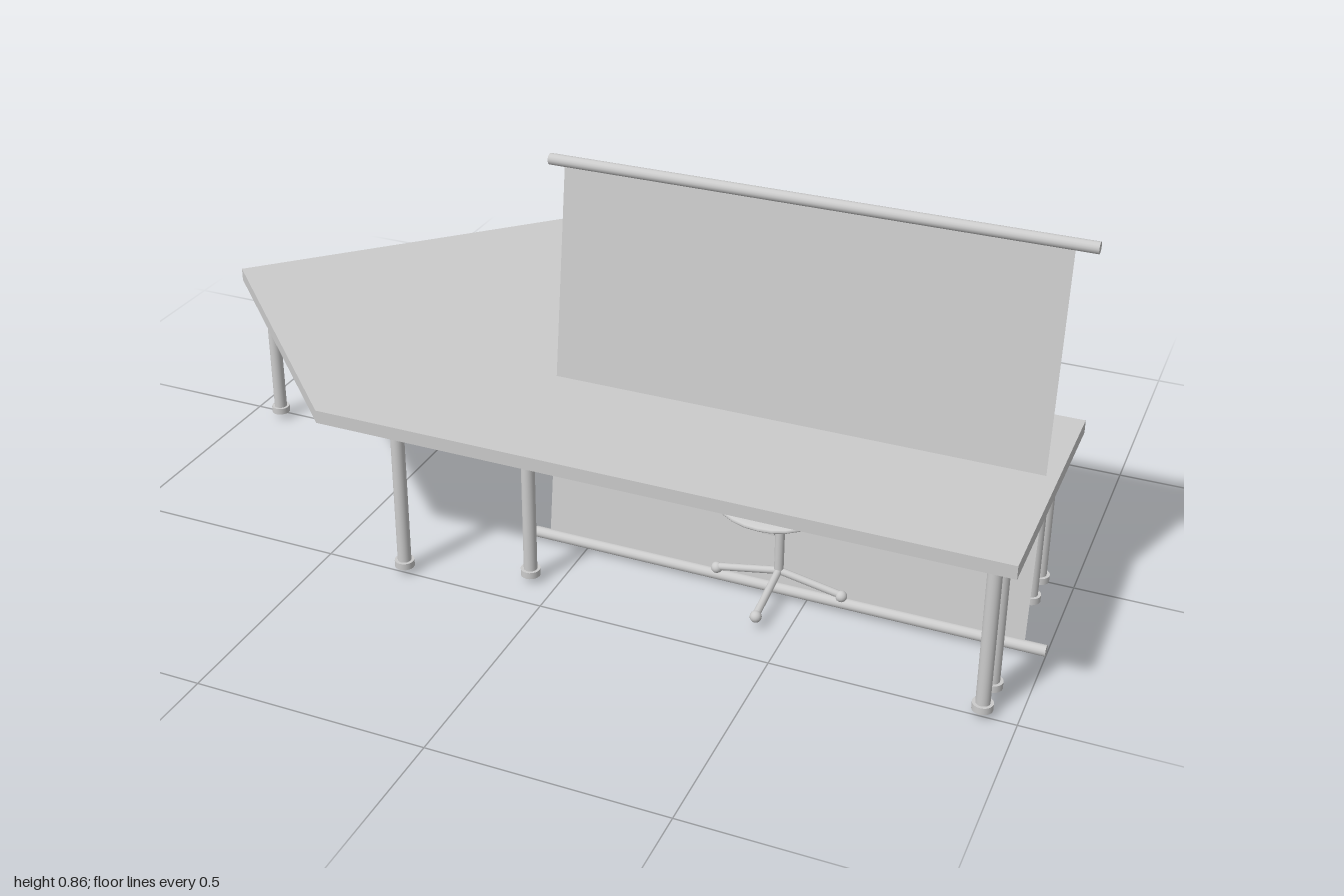
import * as THREE from 'three';

const grey = new THREE.MeshStandardMaterial({ color: 0xcccccc });
const thin = new THREE.MeshStandardMaterial({ color: 0xcccccc, side: THREE.DoubleSide });

function add(parent, name, geometry, x = 0, y = 0, z = 0, material = grey) {
  const mesh = new THREE.Mesh(geometry, material);
  mesh.name = name;
  mesh.position.set(x, y, z);
  parent.add(mesh);
  return mesh;
}

// round rod between two points
function rod(parent, name, a, b, radius, sides = 16) {
  const from = new THREE.Vector3(...a), dir = new THREE.Vector3(...b).sub(from);
  const mesh = add(parent, name, new THREE.CylinderGeometry(radius, radius, dir.length(), sides));
  mesh.position.copy(from).addScaledVector(dir, 0.5);
  mesh.quaternion.setFromUnitVectors(new THREE.Vector3(0, 1, 0), dir.normalize());
}

// padded cushion lying flat: squarish outline, rx by rz, thickness 2t, sides bent up
function cushion(rx, t, rz, bend, square) {
  const geo = new THREE.SphereGeometry(1, 32, 16);
  const p = geo.attributes.position;
  for (let i = 0; i < p.count; i++) {
    const x = p.getX(i), z = p.getZ(i);
    const r = Math.hypot(x, z);
    // the poles stay on the axis
    const k = r < 1e-6 ? 0 : r / Math.pow(Math.abs(x) ** square + Math.abs(z) ** square, 1 / square);
    const u = x * k;
    p.setXYZ(i, u * rx, p.getY(i) * t + bend * u * u, z * k * rz);
  }
  geo.computeVertexNormals();
  return geo;
}

// flat bar following a side outline given as (z, y), centred on x
function sideBar(points, width) {
  const shape = new THREE.Shape(points.map(([z, y]) => new THREE.Vector2(z, y)));
  const geo = new THREE.ExtrudeGeometry(shape, { depth: width, bevelEnabled: false });
  return geo.translate(0, 0, -width / 2).rotateY(-Math.PI / 2);
}

function makeDesk() {
  const desk = new THREE.Group();
  desk.name = 'desk';
  const outline = [[-1, 0.02], [-0.48, 0.545], [0.98, 0.545], [0.98, -0.035], [0.09, -0.035], [-0.425, -0.55]];
  const shape = new THREE.Shape(outline.map(([x, z]) => new THREE.Vector2(x, -z)));
  const top = new THREE.ExtrudeGeometry(shape, { depth: 0.029, bevelEnabled: false });
  add(desk, 'deskTop', top.rotateX(-Math.PI / 2), 0, 0.351, 0);

  const legs = [
    [-0.925, 0.02], [-0.43, -0.47], [0.105, 0.035], [-0.32, 0.495], [0.93, 0.495],
    [0.93, 0.02], [-0.06, 0.42], [0.93, 0.42], [-0.06, 0.1], [0.93, 0.1],
  ];
  for (const [x, z] of legs) {
    add(desk, 'deskLeg', new THREE.CylinderGeometry(0.0145, 0.0145, 0.323, 20), x, 0.1905, z);
    add(desk, 'deskFoot', new THREE.CylinderGeometry(0.021, 0.021, 0.015, 20), x, 0.0225, z);
  }
  return desk;
}

// leaning sheet hung between two rods
function makeScreen() {
  const screen = new THREE.Group();
  screen.name = 'screen';
  const y0 = 0.012, y1 = 0.847, z0 = 0.26, z1 = 0.155;
  rod(screen, 'topRod', [-0.123, y1, z1], [1, y1, z1], 0.012);
  rod(screen, 'bottomRod', [-0.123, y0, z0], [1, y0, z0], 0.012);
  const sheet = add(screen, 'sheet', new THREE.PlaneGeometry(1.045, Math.hypot(y1 - y0, z1 - z0)),
    0.433, (y0 + y1) / 2, (z0 + z1) / 2, thin);
  sheet.rotation.x = -Math.atan((z0 - z1) / (y1 - y0));
  return screen;
}

function makeChair() {
  const chair = new THREE.Group();
  chair.name = 'chair';
  chair.position.x = 0.436;
  const cz = 0.262;

  // post and four-armed base
  rod(chair, 'post', [0, 0.05, cz], [0, 0.2, cz], 0.01);
  for (let i = 0; i < 4; i++) {
    const dx = Math.sin(i * Math.PI / 2), dz = Math.cos(i * Math.PI / 2);
    rod(chair, 'baseArm', [0, 0.057, cz], [dx * 0.14, 0.031, cz + dz * 0.14], 0.008, 12);
    add(chair, 'caster', new THREE.SphereGeometry(0.0125, 16, 10), dx * 0.137, 0.029, cz + dz * 0.137);
  }

  // curved support bar under the seat and up the back
  add(chair, 'supportBar', sideBar([
    [0.343, 0.192], [0.18, 0.192], [0.12, 0.203], [0.075, 0.225], [0.058, 0.27], [0.05, 0.33], [0.05, 0.52],
    [0.074, 0.52], [0.075, 0.33], [0.083, 0.275], [0.1, 0.245], [0.15, 0.225], [0.2, 0.22], [0.343, 0.22],
  ], 0.028));
  add(chair, 'headrestStem', sideBar([
    [0.054, 0.515], [0.058, 0.56], [0.067, 0.6], [0.075, 0.628], [0.09, 0.628],
    [0.082, 0.6], [0.076, 0.56], [0.072, 0.515],
  ], 0.02));

  // cushions
  add(chair, 'seat', cushion(0.145, 0.019, 0.143, 0.028, 2.3), 0, 0.238, 0.263);
  const back = add(chair, 'backrest', cushion(0.122, 0.026, 0.13, 0.022, 2.6), 0, 0.42, 0.092);
  back.rotation.x = Math.PI / 2;
  const head = add(chair, 'headrest', cushion(0.053, 0.019, 0.044, 0.006, 2.1), 0, 0.616, 0.1);
  head.rotation.x = Math.PI / 2 - 0.12;
  return chair;
}

export function createModel() {
  const model = new THREE.Group();
  model.name = 'workstation';
  model.add(makeDesk(), makeScreen(), makeChair());
  return model;
}
